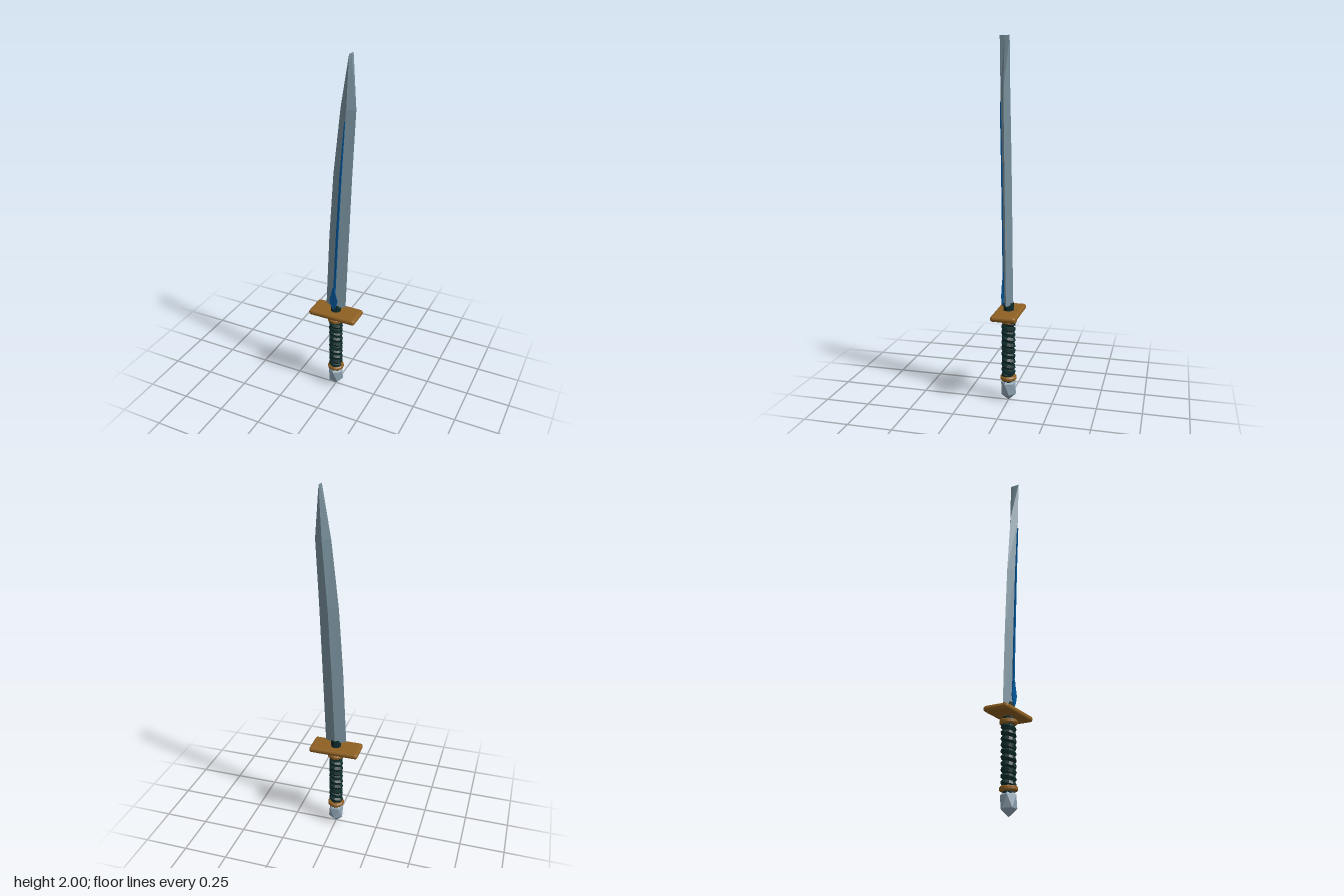
import * as THREE from 'three';
import { RoundedBoxGeometry } from 'three/addons/geometries/RoundedBoxGeometry.js';

const material = (name, color) => {
  const m = new THREE.MeshStandardMaterial({ color });
  m.name = name;
  return m;
};

// Faceted copy of a geometry
function facet(geometry) {
  const g = geometry.index ? geometry.toNonIndexed() : geometry;
  g.computeVertexNormals();
  return g;
}

// Diamond cross-sections [y, left edge, right edge], thickness kept up to the chisel tip
function bladeGeometry(sections, halfThick) {
  const positions = [], index = [];
  for (const [y, l, r] of sections) {
    const c = (l + r) / 2;
    positions.push(l, y, 0, c, y, halfThick, r, y, 0, c, y, -halfThick);
  }
  for (let s = 0; s < sections.length - 1; s++) {
    for (let k = 0; k < 4; k++) {
      const a = s * 4 + k, b = s * 4 + (k + 1) % 4;
      index.push(a, b, b + 4, a, b + 4, a + 4);
    }
  }
  index.push(0, 2, 1, 0, 3, 2);
  const g = new THREE.BufferGeometry();
  g.setAttribute('position', new THREE.Float32BufferAttribute(positions, 3));
  g.setIndex(index);
  return facet(g);
}

// Thin plate from an outline in x and y
function plate(points, depth, z) {
  const shape = new THREE.Shape(points.map(([x, y]) => new THREE.Vector2(x, y)));
  return new THREE.ExtrudeGeometry(shape, { depth, bevelEnabled: false }).translate(0, 0, z);
}

export function createModel() {
  const steel = material('blade steel', 0x78909c);
  const stone = material('pommel stone', 0x90a4b4);
  const bronze = material('bronze', 0x8f6022);
  const leather = material('dark grip', 0x0d2b2b);
  const blue = material('blue inlay', 0x01579b);

  const group = new THREE.Group();
  group.name = 'sword';
  const add = (name, geometry, mat) => {
    const mesh = new THREE.Mesh(geometry, mat);
    mesh.name = name;
    group.add(mesh);
    return mesh;
  };

  // Curved blade
  add('blade', bladeGeometry([
    [0.565, -0.06, 0.06], [1.0, -0.04, 0.077], [1.37, -0.015, 0.092],
    [1.73, 0.025, 0.11], [2.0, 0.08, 0.08],
  ], 0.026), steel);

  // Inlay line along the front ridge
  const ridge = [[0, 0.6, 0.006], [0.0185, 1.0, 0.006], [0.0385, 1.37, 0.005], [0.061, 1.67, 0.002]];
  const left = ridge.map(([x, y, w]) => [x - w, y]);
  const right = ridge.map(([x, y, w]) => [x + w, y]).reverse();
  add('inlayLine', plate([...left, ...right], 0.008, 0.023), blue);

  // Leaf-shaped plate at the foot of the blade
  add('inlayLeaf', plate([
    [0, 0.55], [0.014, 0.572], [0.025, 0.612], [0.014, 0.655], [0.004, 0.7],
    [-0.004, 0.7], [-0.014, 0.655], [-0.025, 0.612], [-0.014, 0.572],
  ], 0.005, 0.031), blue);

  // Cross guard
  add('guard', facet(new RoundedBoxGeometry(0.286, 0.032, 0.142, 2, 0.015)), bronze).position.y = 0.516;

  // Grip core, running through the guard
  add('gripCore', facet(new THREE.CylinderGeometry(0.03, 0.03, 0.475, 8)), leather).position.y = 0.3375;

  // Spiral grip wrap
  const turns = 10, steps = turns * 10, path = [];
  for (let i = 0; i <= steps; i++) {
    const t = i / steps, a = t * turns * Math.PI * 2;
    path.push(new THREE.Vector3(Math.cos(a) * 0.024, 0.145 + t * 0.315, Math.sin(a) * 0.024));
  }
  add('gripWrap', facet(new THREE.TubeGeometry(new THREE.CatmullRomCurve3(path), turns * 12, 0.0175, 6)), leather);

  // Collars at both ends of the grip
  const collar = [[0.02, -0.0125], [0.041, -0.0125], [0.047, -0.006], [0.047, 0.006], [0.041, 0.0125], [0.02, 0.0125]];
  for (const [name, y] of [['lowerCollar', 0.135], ['upperCollar', 0.472]]) {
    const profile = collar.map(([r, h]) => new THREE.Vector2(r, h));
    add(name, facet(new THREE.LatheGeometry(profile, 16)), bronze).position.y = y;
  }

  // Faceted pommel standing on one point
  const pommel = new THREE.IcosahedronGeometry(1, 0);
  pommel.rotateX(-Math.atan((1 + Math.sqrt(5)) / 2)).scale(0.048, 0.072, 0.048);
  add('pommel', facet(pommel), stone).position.y = 0.072;

  return group;
}
